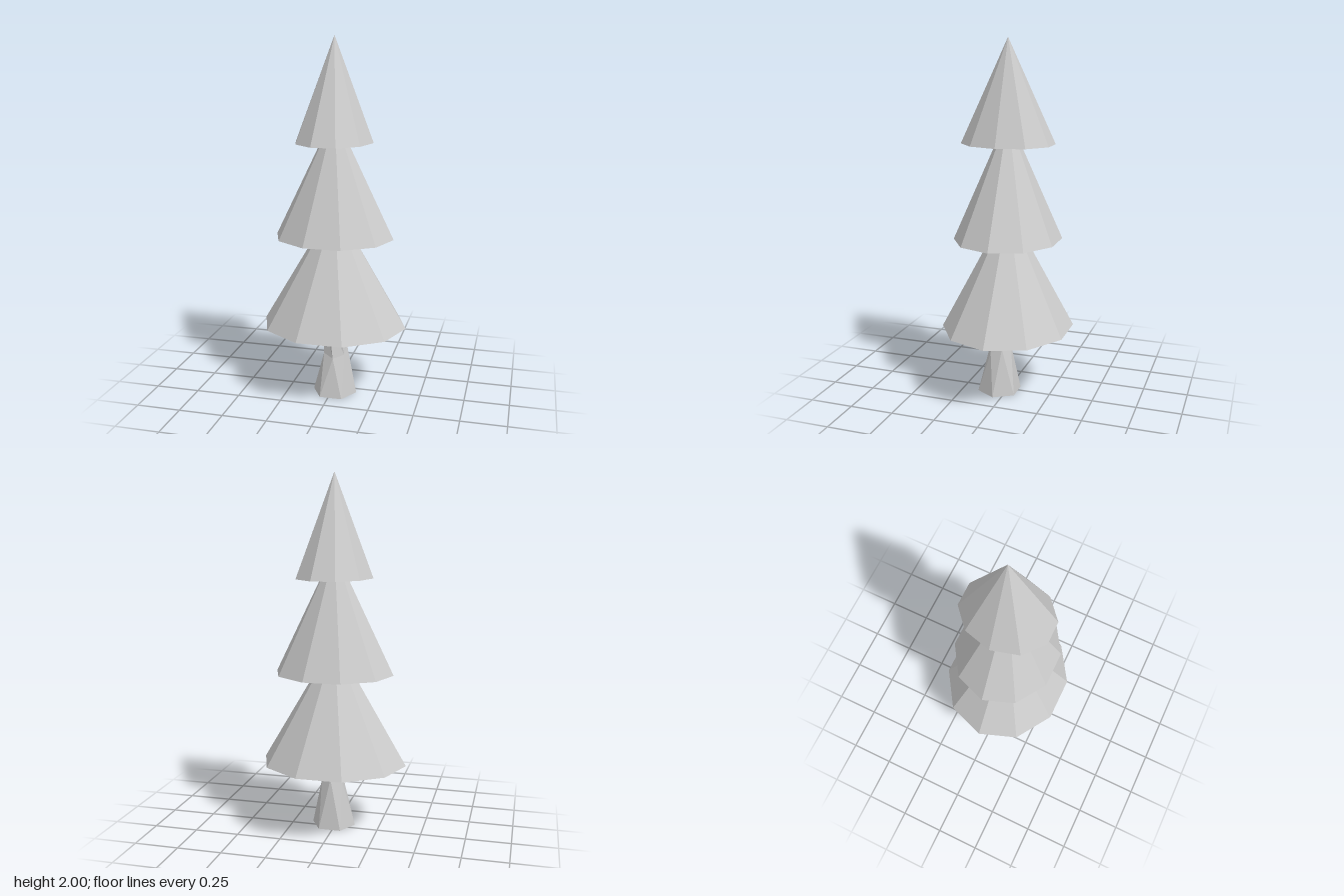
import * as THREE from 'three';

const material = new THREE.MeshStandardMaterial({ color: 0xcccccc, flatShading: true });

// Ten-sided cone tier, slightly squashed in depth
function tier(name, rx, rz, base, tip) {
  const geo = new THREE.ConeGeometry(1, tip - base, 10, 1, false, Math.PI / 2);
  geo.scale(rx, 1, rz);
  geo.translate(0, (base + tip) / 2, 0);
  const mesh = new THREE.Mesh(geo, material);
  mesh.name = name;
  return mesh;
}

// Twisted six-sided trunk lofted through three rings
function trunk() {
  const sides = 6;
  const rings = [
    { x: 0.015, y: 0, z: 0.047, r: 0.125, twist: 0, tilt: 0 },
    { x: 0.018, y: 0.255, z: 0.045, r: 0.068, twist: -30, tilt: -0.5 },
    { x: 0.005, y: 0.42, z: 0.043, r: 0.052, twist: -12, tilt: 0 },
  ];
  const pos = [];
  const index = [];
  for (const ring of rings) {
    for (let i = 0; i < sides; i++) {
      const a = THREE.MathUtils.degToRad(i * 60 + ring.twist);
      const dz = Math.sin(a) * ring.r;
      pos.push(ring.x + Math.cos(a) * ring.r, ring.y + dz * ring.tilt, ring.z + dz);
    }
  }
  for (let k = 0; k < rings.length - 1; k++) {
    for (let i = 0; i < sides; i++) {
      const j = (i + 1) % sides;
      const a = k * sides + i, b = k * sides + j;
      index.push(a, a + sides, b + sides, a, b + sides, b);
    }
  }
  // End caps
  const top = (rings.length - 1) * sides;
  for (let i = 1; i < sides - 1; i++) {
    index.push(0, i, i + 1, top, top + i + 1, top + i);
  }
  const geo = new THREE.BufferGeometry();
  geo.setAttribute('position', new THREE.Float32BufferAttribute(pos, 3));
  geo.setIndex(index);
  const flat = geo.toNonIndexed();
  flat.computeVertexNormals();
  const mesh = new THREE.Mesh(flat, material);
  mesh.name = 'trunk';
  return mesh;
}

export function createModel() {
  const tree = new THREE.Group();
  tree.name = 'pineTree';
  tree.add(
    trunk(),
    tier('lowerFoliage', 0.41, 0.368, 0.395, 1.09),
    tier('middleFoliage', 0.334, 0.299, 0.905, 1.59),
    tier('upperFoliage', 0.217, 0.262, 1.435, 2),
  );
  return tree;
}
